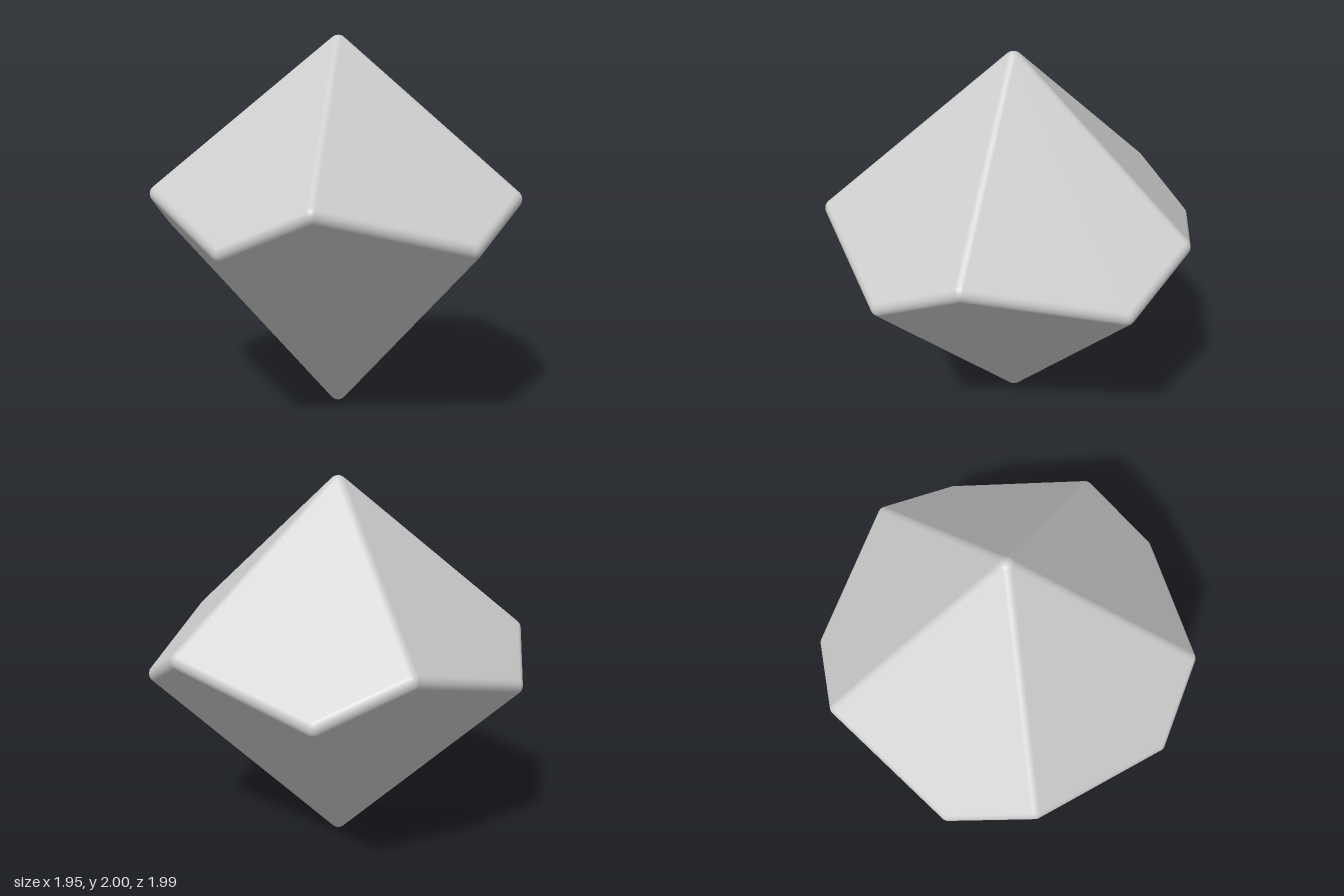
import * as THREE from 'three';

// Ten-sided die: five kite faces above, five below, with evenly rounded edges.
const RADIUS = 0.05;        // edge rounding
const TOP = 2 - RADIUS;     // core apex heights
const BOTTOM = RADIUS;
const SLOPE_TOP = 1.005;    // steepness of upper and lower faces
const SLOPE_BOTTOM = 1.222;
const STEPS = 6;
const deg = THREE.MathUtils.degToRad;

// Core corners, solved so that every kite is flat
function coreCorners() {
  const c36 = Math.cos(deg(36)), twist = Math.cos(deg(10.05));
  const rHigh = (TOP - BOTTOM) / (SLOPE_TOP * c36 + SLOPE_BOTTOM * twist);
  const rLow = (TOP - BOTTOM) / (SLOPE_TOP * twist + SLOPE_BOTTOM * c36);
  const ring = (r, y, start) => Array.from({ length: 5 }, (_, k) => {
    const a = deg(start + 72 * k);
    return new THREE.Vector3(r * Math.sin(a), y, r * Math.cos(a));
  });
  return [
    new THREE.Vector3(0, TOP, 0),
    new THREE.Vector3(0, BOTTOM, 0),
    ...ring(rHigh, TOP - SLOPE_TOP * c36 * rHigh, -10.4),
    ...ring(rLow, BOTTOM + SLOPE_BOTTOM * c36 * rLow, 35.65),
  ];
}

// Surround a convex core with flat faces, cylindrical edges and spherical corners
function roundedSolid(corners, faces, radius) {
  const positions = [], normals = [];
  const put = (v, n) => {
    positions.push(...v.clone().addScaledVector(n, radius).toArray());
    normals.push(...n.toArray());
  };
  const quad = (a, b, c, d) => [a, b, c, a, c, d].forEach(([v, n]) => put(v, n));
  const mix = (a, b, t) => a.clone().lerp(b, t).normalize();

  const faceNormals = faces.map(([a, b, , d]) => {
    const u = corners[b].clone().sub(corners[a]);
    const w = corners[d].clone().sub(corners[a]);
    return u.cross(w).normalize();
  });
  const cornerNormals = corners.map((_, i) => {
    const sum = new THREE.Vector3();
    faces.forEach((f, j) => { if (f.includes(i)) sum.add(faceNormals[j]); });
    return sum.normalize();
  });
  const edgeFace = new Map();
  faces.forEach((f, j) => f.forEach((a, i) => edgeFace.set(`${a},${f[(i + 1) % 4]}`, j)));

  faces.forEach((f, j) => {
    const n = faceNormals[j];
    quad(...f.map((i) => [corners[i], n]));
    f.forEach((a, i) => {
      const b = f[(i + 1) % 4], va = corners[a], vb = corners[b];
      const other = faceNormals[edgeFace.get(`${b},${a}`)];
      for (let s = 0; s < STEPS; s++) {
        const n0 = mix(n, other, s / STEPS), n1 = mix(n, other, (s + 1) / STEPS);
        // rounded edge, once per pair of faces
        if (a < b) quad([va, n0], [va, n1], [vb, n1], [vb, n0]);
        // this edge's share of the rounded corner
        const c = cornerNormals[a];
        for (let t = 0; t < STEPS; t++) {
          const t0 = t / STEPS, t1 = (t + 1) / STEPS;
          quad([va, mix(c, n0, t0)], [va, mix(c, n1, t0)], [va, mix(c, n1, t1)], [va, mix(c, n0, t1)]);
        }
      }
    });
  });

  const geometry = new THREE.BufferGeometry();
  geometry.setAttribute('position', new THREE.Float32BufferAttribute(positions, 3));
  geometry.setAttribute('normal', new THREE.Float32BufferAttribute(normals, 3));
  return geometry;
}

export function createModel() {
  const faces = [];
  for (let k = 0; k < 5; k++) {
    const next = (k + 1) % 5;
    faces.push([0, 2 + k, 7 + k, 2 + next]);      // upper kite
    faces.push([1, 7 + next, 2 + next, 7 + k]);   // lower kite
  }
  const die = new THREE.Mesh(
    roundedSolid(coreCorners(), faces, RADIUS),
    new THREE.MeshStandardMaterial({ color: 0xcccccc }),
  );
  die.name = 'tenSidedDie';
  die.position.set(0.008, 0, 0.013);

  const group = new THREE.Group();
  group.name = 'die';
  group.add(die);
  return group;
}
